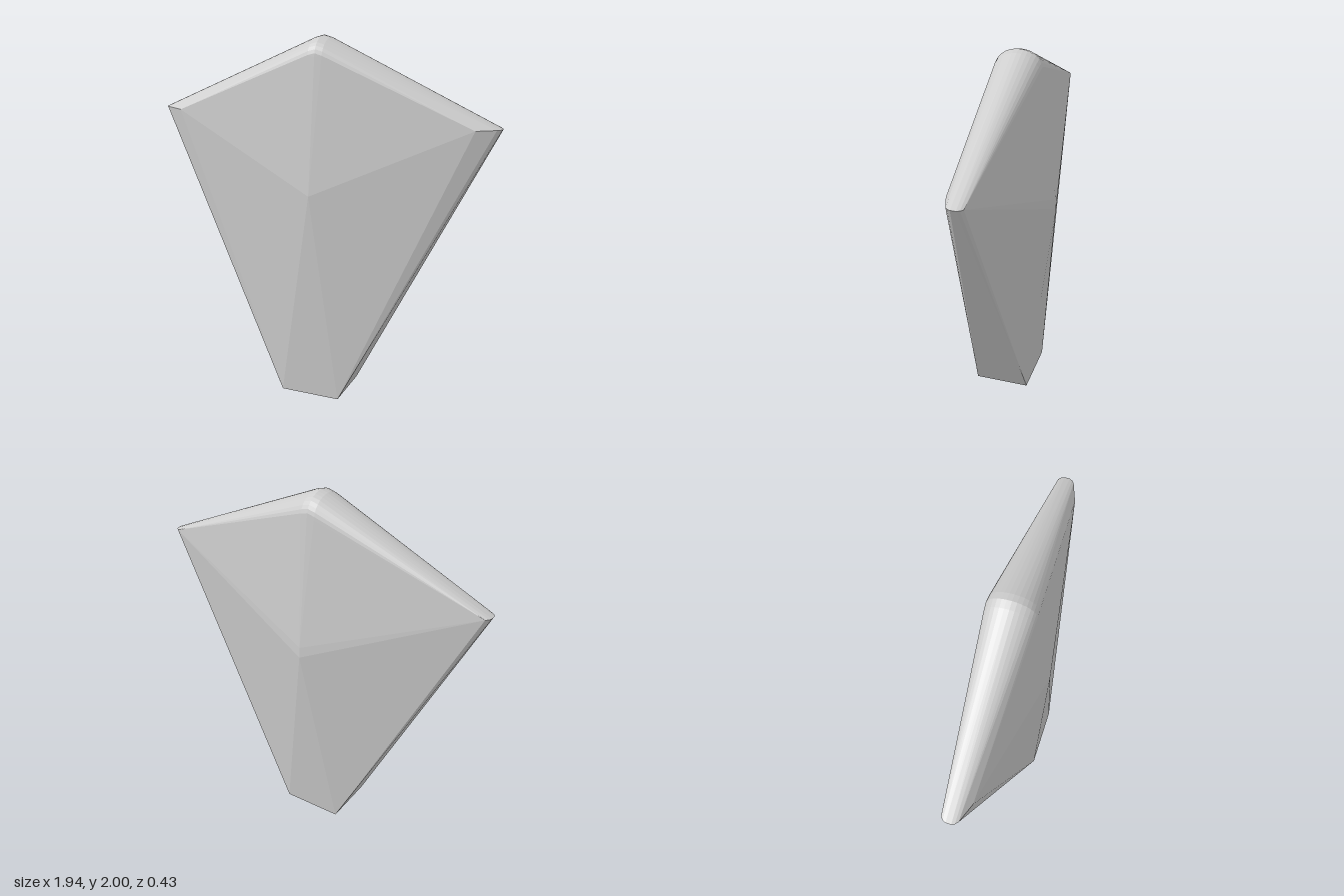
import * as THREE from 'three';
import { ConvexGeometry } from 'three/addons/geometries/ConvexGeometry.js';

export function createModel() {
  const group = new THREE.Group();
  const stone = new THREE.MeshStandardMaterial({ color: 0xcccccc });
  stone.name = 'pale grey';

  const points = [];
  const add = (x, y, z) => points.push(new THREE.Vector3(x, y, z));
  const addPair = (x, y, z) => { add(x, y, z); add(-x, y, z); };

  // Narrow foot
  addPair(0.17, 0, 0.205);
  addPair(0.17, 0, -0.1);

  // Ridge points at the middle of the front and back faces
  add(0, 1.17, 0.215);
  add(0, 1.18, -0.209);
  add(0, 1.12, -0.212);

  // Front shoulders and the rounded shoulder tips
  addPair(0.85, 1.562, 0.08);
  for (const [x, z] of [[0.95, 0.043], [0.965, 0.03], [0.972, 0.014]]) {
    addPair(x, 1.567, z);
    addPair(x, 1.567, -z);
  }

  // Rounded crown, swept towards the shoulders
  add(0, 1.845, 0.134);
  const steps = 16;
  for (let i = 0; i <= steps; i++) {
    const a = (i / steps) * Math.PI;
    const y = 1.895 + 0.105 * Math.sin(a);
    const z = 0.128 * Math.cos(a);
    add(0, y, z);
    addPair(0.04, y - 0.011, z * 0.985);
  }

  const body = new THREE.Mesh(new ConvexGeometry(points), stone);
  body.name = 'taperedBody';
  group.add(body);
  return group;
}
